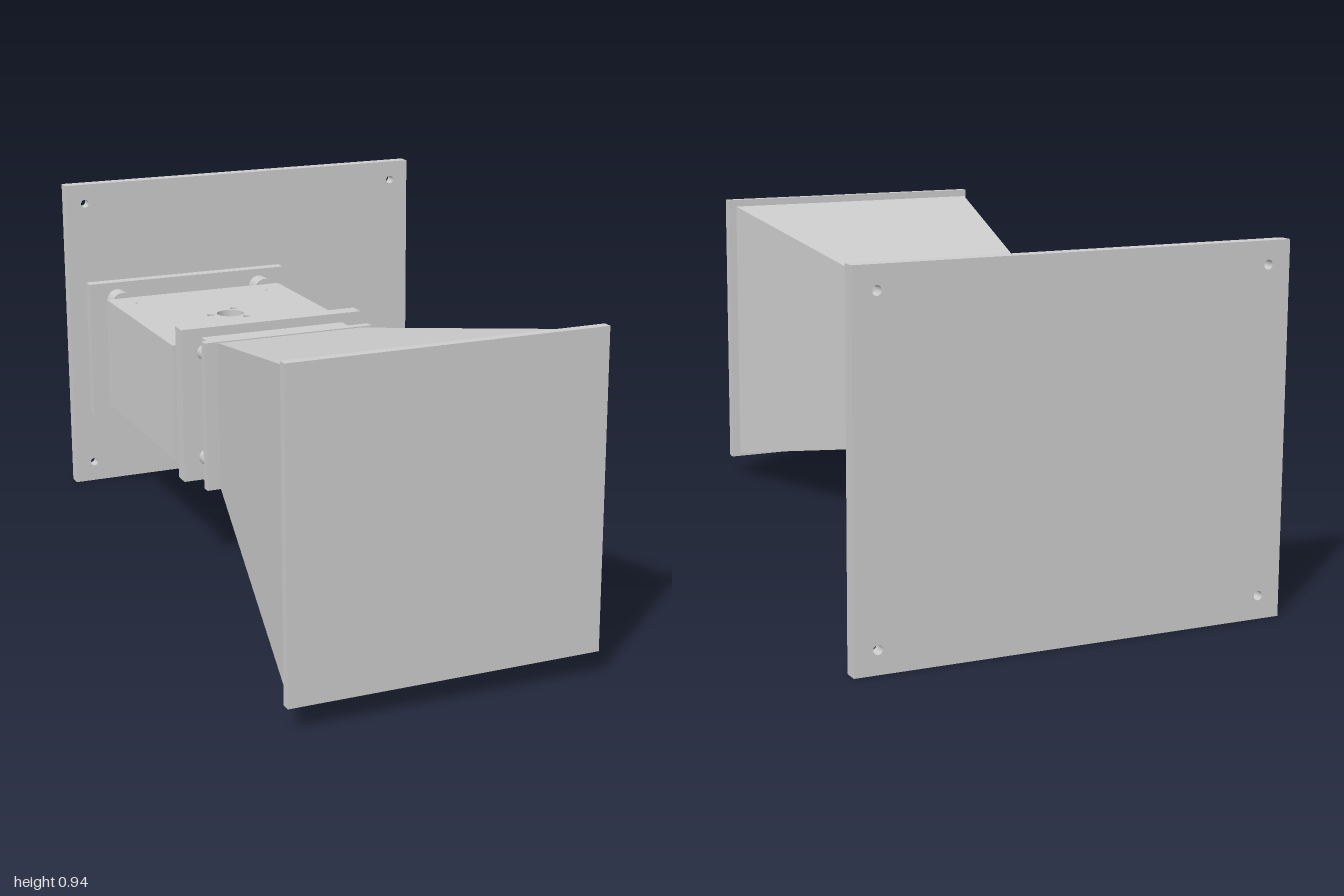
import * as THREE from 'three';

const CX = -0.205, CY = 0.473; // axis of the horn assembly
const material = new THREE.MeshStandardMaterial({ color: 0xcccccc });

export function createModel() {
  const group = new THREE.Group();

  const add = (name, geometry, x = 0, y = 0, z = 0) => {
    const mesh = new THREE.Mesh(geometry, material);
    mesh.name = name;
    mesh.position.set(x, y, z);
    group.add(mesh);
    return mesh;
  };

  // Box given by its extents
  const box = (name, x0, x1, y0, y1, z0, z1) =>
    add(name, new THREE.BoxGeometry(x1 - x0, y1 - y0, z1 - z0),
      (x0 + x1) / 2, (y0 + y1) / 2, (z0 + z1) / 2);

  // Cylinder lying along z
  const rod = (name, x, y, r, z0, z1) =>
    add(name, new THREE.CylinderGeometry(r, r, z1 - z0, 32).rotateX(Math.PI / 2), x, y, (z0 + z1) / 2);

  // Rectangle extruded along z, with round holes [x, y, radius]
  const drilled = (x0, x1, y0, y1, depth, holes) => {
    const shape = new THREE.Shape([[x0, y0], [x1, y0], [x1, y1], [x0, y1]].map(p => new THREE.Vector2(...p)));
    for (const [x, y, r] of holes) {
      shape.holes.push(new THREE.Path().absarc(x, y, r, 0, Math.PI * 2, true));
    }
    return new THREE.ExtrudeGeometry(shape, { depth, bevelEnabled: false, curveSegments: 24 });
  };

  // Large mounting plate with four corner holes
  const corners = [];
  for (const x of [-0.47, 0.555]) for (const y of [0.06, 0.886]) corners.push([x, y, 0.012]);
  add('mountingPlate', drilled(-0.53, 0.615, 0, 0.945, 0.038, corners), 0, 0, -1);
  box('mountingBlock', -0.295, -0.12, 0.385, 0.56, -0.963, -0.905);

  // Aperture cover and its inset rim
  box('apertureCover', -0.617, 0.207, 0.063, 0.885, 0.975, 1);
  box('apertureRim', -0.59, 0.175, 0.09, 0.857, 0.95, 0.975);

  // Horn: a box whose rear face is narrowed
  const horn = new THREE.BoxGeometry(0.79, 0.788, 0.922);
  const p = horn.attributes.position;
  for (let i = 0; i < p.count; i++) {
    if (p.getZ(i) < 0) p.setXY(i, Math.sign(p.getX(i)) * 0.207, Math.sign(p.getY(i)) * 0.204);
  }
  const hornFlat = horn.toNonIndexed();
  hornFlat.computeVertexNormals();
  add('horn', hornFlat, CX, CY, 0.489);

  // Throat with a flange at each end
  box('throatFlange', -0.45, 0.037, 0.267, 0.68, 0.003, 0.028);
  box('throat', -0.415, 0.003, 0.285, 0.664, -0.097, 0.003);
  box('bodyFlange', -0.472, 0.06, 0.258, 0.69, -0.143, -0.095);

  // Body in three layers: the shaft hole runs through, with a counterbore on top
  const screws = [];
  for (const x of [-0.413, 0]) for (const z of [-0.655, -0.215]) screws.push([x, -z, 0.005]);
  const shaft = [CX, 0.425, 0.018];
  const tripod = [0, 1, 2].map(i => {
    const a = Math.PI + i * Math.PI * 2 / 3;
    return [CX + 0.06 * Math.cos(a), 0.425 + 0.06 * Math.sin(a), 0.011];
  });
  const layer = (name, y0, y1, holes) =>
    add(name, drilled(-0.482, 0.068, 0.143, 0.732, y1 - y0, holes).rotateX(-Math.PI / 2), 0, y0, 0);
  layer('bodyBottom', 0.31, 0.35, [shaft, ...screws]);
  layer('bodyCore', 0.35, 0.6, [shaft]);
  layer('bodyTop', 0.6, 0.637, [[CX, 0.425, 0.039], ...tripod, ...screws]);

  // Bolt heads ahead of the body, spacers behind it
  for (const side of [-1, 1]) {
    for (const y of [0.323, 0.622]) {
      rod('flangeBolt', CX + side * 0.202, y, 0.021, -0.1, -0.043);
      rod('rearSpacer', CX + side * 0.228, y, 0.032, -0.785, -0.73);
    }
  }

  // Rear flange with its connector stub
  box('rearFlange', -0.518, 0.105, 0.27, 0.675, -0.818, -0.782);
  rod('connectorStub', -0.107, CY, 0.043, -0.878, -0.815);

  return group;
}
